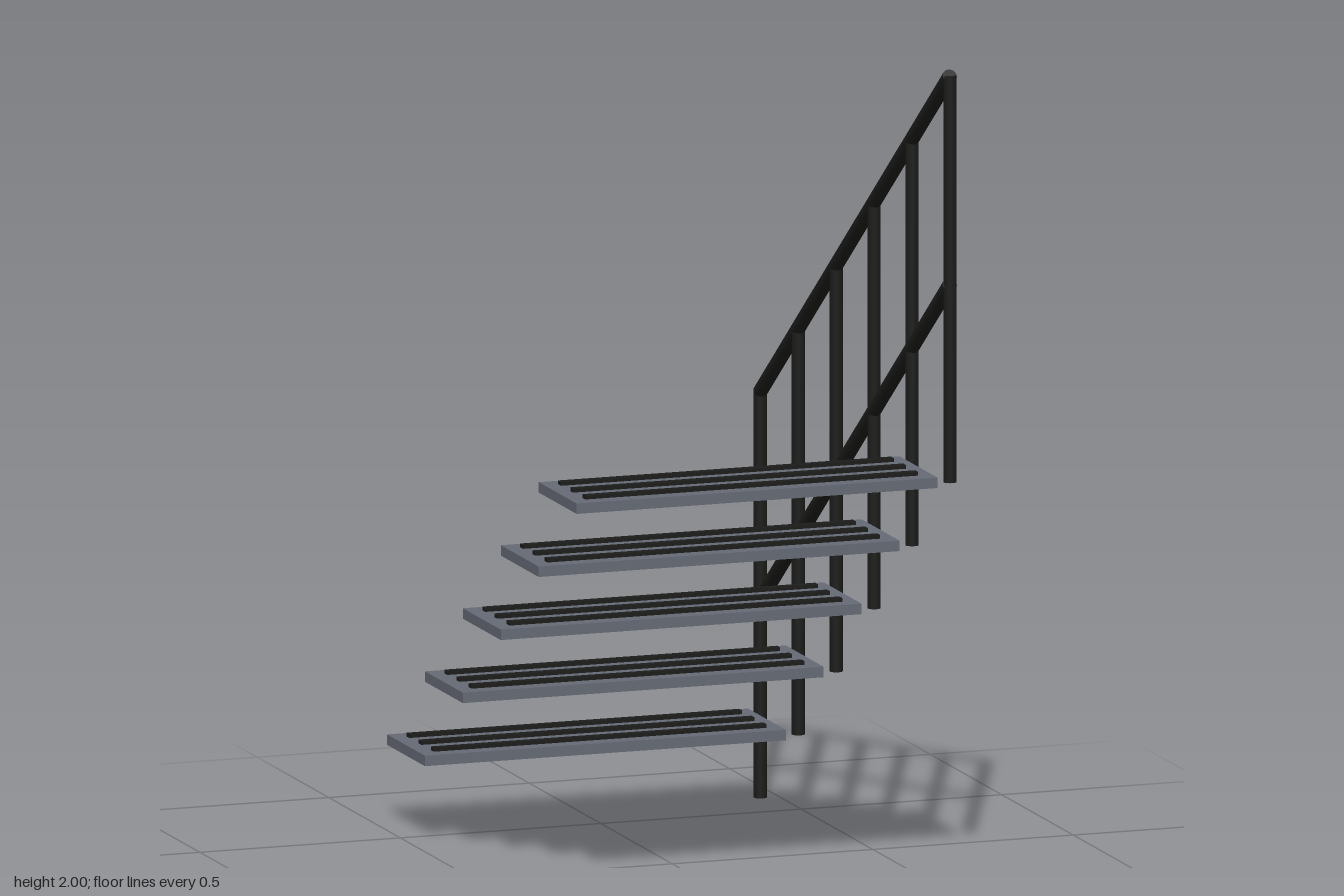
import * as THREE from 'three';

const STEPS = 5;
const RISE = 0.2025;
const RUN = 0.265;
const Z0 = -RUN * STEPS / 2; // low end of the flight
const RAIL_X = 0.456;
const RAIL_Y = 0.9735; // handrail axis height at the low end

const steel = new THREE.MeshStandardMaterial({ color: 0x1c1c1a });
const tread = new THREE.MeshStandardMaterial({ color: 0x656a75 });

function box(name, w, h, d, x, y, z, material) {
  const mesh = new THREE.Mesh(new THREE.BoxGeometry(w, h, d), material);
  mesh.position.set(x, y, z);
  mesh.name = name;
  return mesh;
}

// Round bar between two points in the railing plane
function bar(name, y1, z1, y2, z2, radius) {
  const a = new THREE.Vector3(RAIL_X, y1, z1);
  const b = new THREE.Vector3(RAIL_X, y2, z2);
  const dir = b.clone().sub(a);
  const mesh = new THREE.Mesh(new THREE.CylinderGeometry(radius, radius, dir.length(), 20), steel);
  mesh.position.copy(a).add(b).multiplyScalar(0.5);
  mesh.quaternion.setFromUnitVectors(new THREE.Vector3(0, 1, 0), dir.normalize());
  mesh.name = name;
  return mesh;
}

export function createModel() {
  const model = new THREE.Group();
  model.name = 'staircase';

  // Floating treads, each with three anti-slip strips
  for (let i = 0; i < STEPS; i++) {
    const step = new THREE.Group();
    step.name = 'step';
    step.position.set(-0.025, RISE * (i + 1), Z0 + RUN * (i + 0.5));
    step.add(box('tread', 0.9, 0.025, RUN, 0, 0, 0, tread));
    for (const z of [-0.085, 0, 0.085]) {
      step.add(box('gripStrip', 0.83, 0.01, 0.02, 0, 0.0165, z, steel));
    }
    model.add(step);
  }

  // Railing: one post per step edge, handrail and middle rail
  const railing = new THREE.Group();
  railing.name = 'railing';
  for (let k = 0; k <= STEPS; k++) {
    const z = Z0 + RUN * k;
    railing.add(bar('post', RISE * k, z, RAIL_Y + RISE * k, z, 0.0155));
  }
  for (const [name, drop] of [['handrail', 0], ['middleRail', 0.5]]) {
    const y = RAIL_Y - drop;
    railing.add(bar(name, y, Z0, y + RISE * STEPS, -Z0, 0.0172));
  }
  model.add(railing);

  return model;
}
